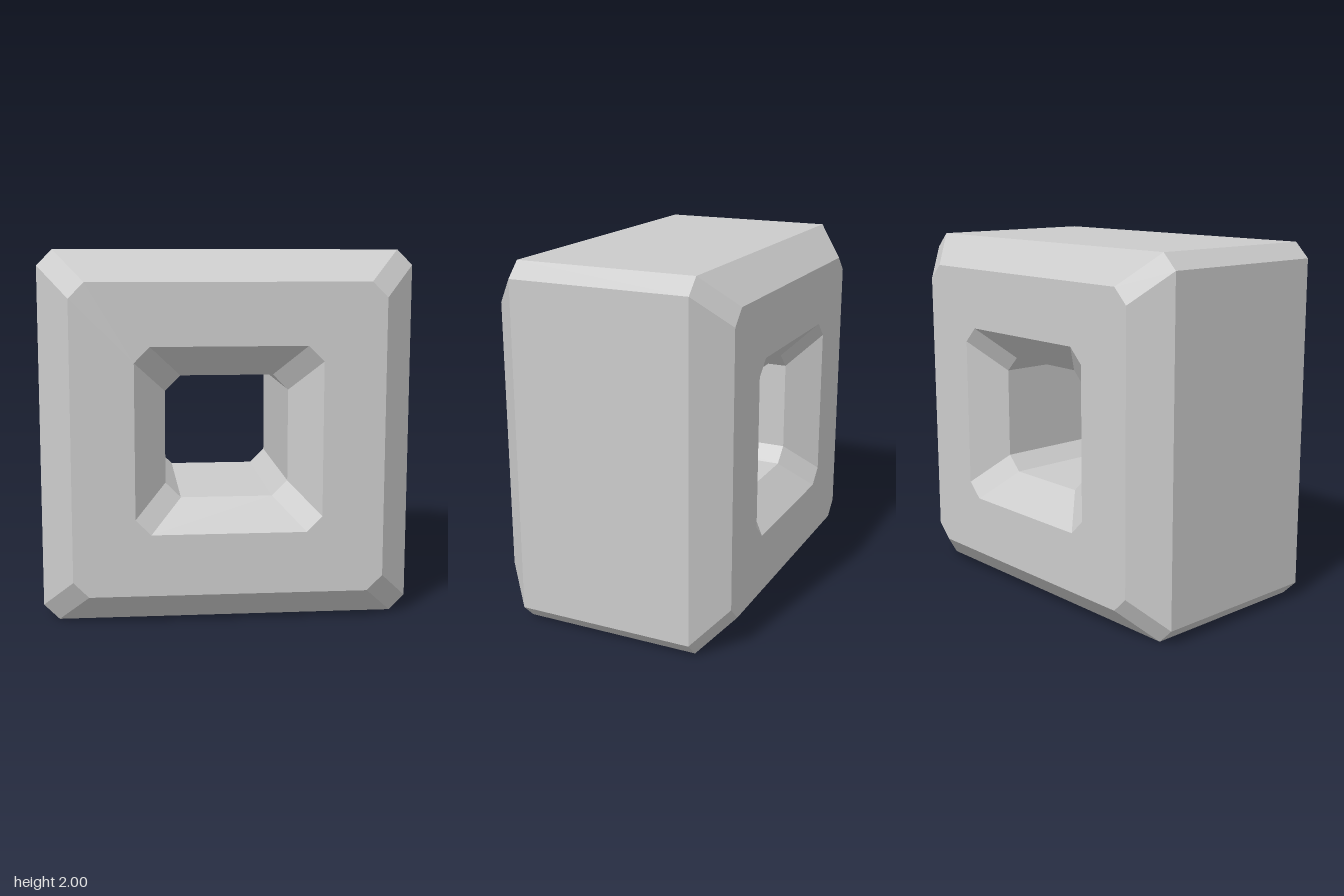
import * as THREE from 'three';

const CUT = 1 / 12; // corner chamfer, the same on every loop

// Square loop with chamfered corners, counter-clockwise seen from the front
function chamferedSquare(half, z) {
  const k = half - CUT;
  return [
    [half, -k], [half, k], [k, half], [-k, half],
    [-half, k], [-half, -k], [-k, -half], [k, -half],
  ].map(([x, y]) => [x, y + 1, z]);
}

// Joins a closed series of loops with flat quads
function skinLoops(loops) {
  const positions = [];
  loops.forEach((loop, j) => {
    const next = loops[(j + 1) % loops.length];
    loop.forEach((a, i) => {
      const n = (i + 1) % loop.length;
      const b = loop[n], c = next[n], d = next[i];
      positions.push(...a, ...b, ...c, ...a, ...c, ...d);
    });
  });
  const geometry = new THREE.BufferGeometry();
  geometry.setAttribute('position', new THREE.Float32BufferAttribute(positions, 3));
  geometry.computeVertexNormals();
  return geometry;
}

export function createModel() {
  const group = new THREE.Group();
  group.name = 'squareRing';

  // Cross-section of the ring as [half width, z]: outer wall, front, hole wall, back
  const section = [
    [1, -1 / 2], [1, 1 / 2],
    [5 / 6, 2 / 3], [1 / 2, 2 / 3],
    [1 / 3, 1 / 2], [1 / 3, -1 / 2],
    [1 / 2, -2 / 3], [5 / 6, -2 / 3],
  ];
  const ring = new THREE.Mesh(
    skinLoops(section.map(([half, z]) => chamferedSquare(half, z))),
    new THREE.MeshStandardMaterial({ color: 0xcccccc, flatShading: true })
  );
  ring.name = 'beveledBlock';
  group.add(ring);
  return group;
}
